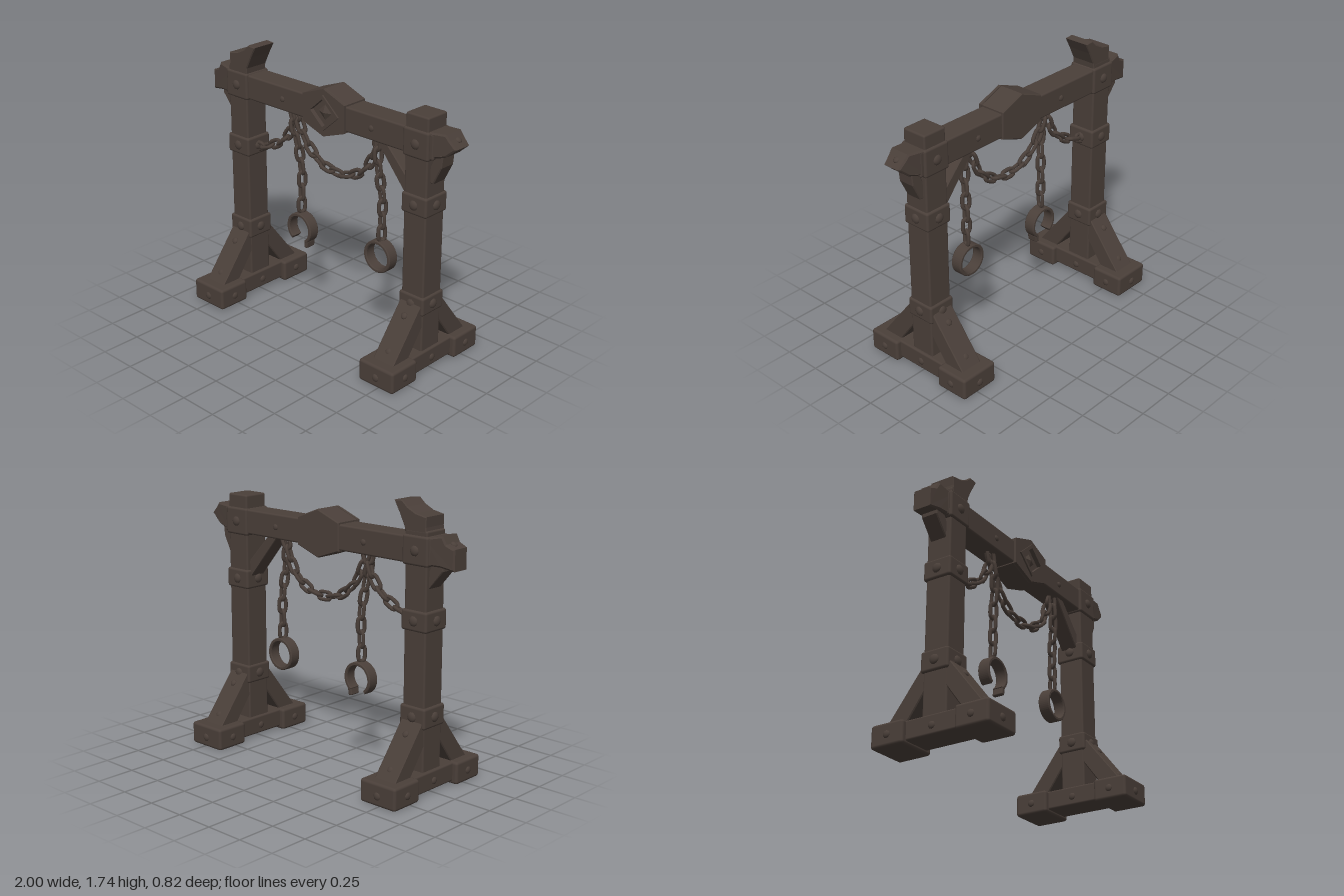
import * as THREE from 'three';
import { RoundedBoxGeometry } from 'three/addons/geometries/RoundedBoxGeometry.js';

const iron = new THREE.MeshStandardMaterial({ color: 0x4a3f39 });
iron.name = 'dark weathered brown';
const UP = new THREE.Vector3(0, 1, 0);

function add(parent, name, geometry, x = 0, y = 0, z = 0) {
  const mesh = new THREE.Mesh(geometry, iron);
  mesh.name = name;
  mesh.position.set(x, y, z);
  parent.add(mesh);
  return mesh;
}

// Softly rounded block given by its extents
function block(parent, name, x0, x1, y0, y1, z0, z1, r = 0.012) {
  const g = new RoundedBoxGeometry(x1 - x0, y1 - y0, z1 - z0, 2, r);
  return add(parent, name, g, (x0 + x1) / 2, (y0 + y1) / 2, (z0 + z1) / 2);
}

const toShape = (points) => new THREE.Shape(points.map(([x, y]) => new THREE.Vector2(x, y)));

// Outline extruded along z, centred, with a small bevel
function prism(points, depth, bevel = 0.006) {
  const g = new THREE.ExtrudeGeometry(toShape(points), {
    depth: depth - 2 * bevel, bevelEnabled: true, bevelSize: bevel,
    bevelOffset: -bevel, bevelThickness: bevel, bevelSegments: 1,
  });
  return g.translate(0, 0, -depth / 2 + bevel);
}

const rivetGeometry = new THREE.SphereGeometry(1, 10, 4, 0, Math.PI * 2, 0, Math.PI / 2);
function rivet(parent, position, normal, r = 0.032) {
  const m = add(parent, 'rivet', rivetGeometry, ...position);
  m.scale.set(r, r * 0.55, r);
  m.quaternion.setFromUnitVectors(UP, new THREE.Vector3(...normal).normalize());
}

// Iron collar with a rivet on each exposed side
function collar(parent, cx, y0, y1, sides = true) {
  block(parent, 'collar', cx - 0.094, cx + 0.094, y0, y1, -0.098, 0.094, 0.015);
  const y = (y0 + y1) / 2;
  rivet(parent, [cx, y, 0.092], [0, 0, 1]);
  rivet(parent, [cx, y, -0.096], [0, 0, -1]);
  if (sides) for (const s of [-1, 1]) rivet(parent, [cx + s * 0.092, y, 0], [s, 0, 0]);
}

// Base beam, end caps and sloping struts of one post
function foot(parent, cx) {
  const group = new THREE.Group();
  group.name = 'foot';
  group.position.x = cx;
  parent.add(group);
  block(group, 'baseBeam', -0.1, 0.1, 0.025, 0.145, -0.3, 0.3);
  for (const s of [-1, 1]) {
    const z0 = s > 0 ? 0.175 : -0.4;
    block(group, 'baseCap', -0.134, 0.134, 0.005, 0.148, z0, z0 + 0.225, 0.018);
    const strut = prism([[0.36, 0.11], [0.2, 0.13], [0.07, 0.31], [0.07, 0.45], [0.1, 0.45]], 0.155);
    add(group, 'strut', strut.rotateY(-s * Math.PI / 2));
    rivet(group, [0, 0.07, s * 0.397], [0, 0, s], 0.026);
    rivet(group, [0, 0.2, s * 0.283], [0, 0.75, s], 0.022);
    rivet(group, [0, 0.385, s * 0.149], [0, 0.75, s], 0.022);
    for (const side of [-1, 1]) {
      rivet(group, [side * 0.132, 0.075, s * 0.285], [side, 0, 0], 0.024);
      if (s > 0) rivet(group, [side * 0.098, 0.08, 0], [side, 0, 0], 0.024);
    }
  }
}

// Chain link: a closed oval tube, long along y
class Oval extends THREE.Curve {
  getPoint(t, target = new THREE.Vector3()) {
    const a = t * Math.PI * 2;
    const straight = 0.026 * Math.max(-1, Math.min(1, Math.sin(a) * 2.5));
    return target.set(Math.cos(a) * 0.024, Math.sin(a) * 0.024 + straight, 0);
  }
}
const linkGeometry = new THREE.TubeGeometry(new Oval(), 18, 0.0125, 6, true);

function chain(parent, name, points, pitch = 0.083) {
  const group = new THREE.Group();
  group.name = name;
  parent.add(group);
  const curve = new THREE.CatmullRomCurve3(points.map(([x, y, z = 0]) => new THREE.Vector3(x, y, z)));
  const count = Math.round(curve.getLength() / pitch);
  const ahead = new THREE.Vector3(0, 0, 1);
  for (let i = 0; i <= count; i++) {
    const t = curve.getTangentAt(i / count);
    const side = new THREE.Vector3().crossVectors(t, ahead).normalize();
    const basis = new THREE.Matrix4().makeBasis(side, t, new THREE.Vector3().crossVectors(side, t));
    const link = add(group, 'link', linkGeometry);
    link.position.copy(curve.getPointAt(i / count));
    link.quaternion.setFromRotationMatrix(basis);
    link.rotateY((i % 2) * Math.PI / 2 + 0.3);
  }
}

// Flat cuff band swept around z between two angles
function cuff(parent, name, x, y, start, sweep) {
  const shape = new THREE.Shape();
  shape.absarc(0, 0, 0.105, start, start + sweep, false);
  if (sweep < Math.PI * 2) {
    shape.absarc(0, 0, 0.082, start + sweep, start, true);
  } else {
    shape.holes.push(new THREE.Path().absarc(0, 0, 0.082, 0, Math.PI * 2, true));
  }
  const g = new THREE.ExtrudeGeometry(shape, {
    depth: 0.064, curveSegments: 28, bevelEnabled: true,
    bevelSize: 0.005, bevelOffset: -0.005, bevelThickness: 0.006, bevelSegments: 1,
  });
  return add(parent, name, g.translate(0, 0, -0.032), x, y, 0);
}

// Splintered beam end, narrowing in depth toward its tip
function beamEnd(parent, points, s) {
  const g = prism(points, 0.165, 0.01);
  const p = g.attributes.position;
  for (let i = 0; i < p.count; i++) {
    const k = Math.max(0, (Math.abs(p.getX(i)) - 0.83) / 0.17);
    p.setZ(i, p.getZ(i) * (1 - 0.28 * k) - 0.004);
  }
  g.computeVertexNormals();
  add(parent, 'beamEnd', g);
  rivet(parent, [s * 0.955, 1.515, -0.01], [s * 0.6, 1, 0], 0.022);
}

export function createModel() {
  const model = new THREE.Group();
  model.name = 'shackleFrame';
  const LX = -0.743, RX = 0.732;

  // Posts, collars and feet
  block(model, 'rightPost', LX - 0.08, LX + 0.08, 0.03, 1.58, -0.085, 0.082);
  block(model, 'leftPost', RX - 0.083, RX + 0.083, 0.03, 1.63, -0.085, 0.082);
  collar(model, LX, 0.41, 0.54);
  collar(model, RX, 0.385, 0.505);
  collar(model, LX, 0.99, 1.115);
  collar(model, RX, 1.02, 1.145);
  collar(model, LX, 1.375, 1.55, false);
  collar(model, RX, 1.37, 1.545, false);
  foot(model, LX);
  foot(model, RX);

  // Broken post top
  add(model, 'brokenPostTop', prism([
    [-0.823, 1.5], [-0.663, 1.5], [-0.655, 1.585], [-0.615, 1.665], [-0.575, 1.735],
    [-0.635, 1.74], [-0.675, 1.705], [-0.735, 1.675], [-0.812, 1.66], [-0.81, 1.6],
  ], 0.168));

  // Crossbeam with splintered ends
  block(model, 'crossbeam', -0.85, 0.85, 1.382, 1.54, -0.085, 0.078);
  beamEnd(model, [
    [-0.8, 1.385], [-0.8, 1.54], [-0.92, 1.565], [-0.945, 1.52], [-1, 1.497], [-1, 1.37], [-0.91, 1.385],
  ].reverse(), -1);
  beamEnd(model, [
    [0.8, 1.385], [0.88, 1.405], [0.925, 1.42], [0.995, 1.48], [0.95, 1.525], [0.925, 1.555], [0.8, 1.545],
  ], 1);
  for (const x of [-0.345, 0.387]) {
    rivet(model, [x, 1.458, 0.077], [0, 0, 1], 0.02);
    rivet(model, [x, 1.458, -0.084], [0, 0, -1], 0.02);
  }

  // Hexagonal centre plate, its front layer pierced by a diamond recess
  const hexagon = [[-0.153, 1.375], [0.02, 1.315], [0.19, 1.375], [0.19, 1.55], [0.02, 1.615], [-0.153, 1.55]];
  add(model, 'centrePlate', prism(hexagon, 0.17), 0, 0, -0.007);
  const diamond = (w, h) => [[0.02 - w, 1.465], [0.02, 1.465 - h], [0.02 + w, 1.465], [0.02, 1.465 + h]];
  const front = toShape(hexagon);
  front.holes.push(new THREE.Path(diamond(0.1, 0.088).map(([x, y]) => new THREE.Vector2(x, y)).reverse()));
  add(model, 'centrePlateFront', new THREE.ExtrudeGeometry(front, { depth: 0.019, bevelEnabled: false }), 0, 0, 0.077);
  const rim = toShape(diamond(0.13, 0.115));
  rim.holes.push(new THREE.Path(diamond(0.1, 0.088).map(([x, y]) => new THREE.Vector2(x, y)).reverse()));
  add(model, 'diamondRim', new THREE.ExtrudeGeometry(rim, { depth: 0.011, bevelEnabled: false }), 0, 0, 0.095);
  const stud = new THREE.ConeGeometry(0.06, 0.02, 4).toNonIndexed();
  stud.computeVertexNormals();
  const boss = add(model, 'diamondBoss', stud.rotateX(Math.PI / 2), 0.02, 1.465, 0.086);
  boss.scale.y = 0.9;

  // Corner braces
  add(model, 'innerBrace', prism([[0.39, 1.4], [0.66, 1.08], [0.66, 1.2], [0.47, 1.4]], 0.11), 0, 0, -0.005);
  add(model, 'outerBrace', prism([[0.8, 1.23], [0.835, 1.23], [0.89, 1.34], [0.9, 1.43], [0.85, 1.43], [0.8, 1.31]], 0.11), 0, 0, -0.005);
  add(model, 'outerBrace', prism([[-0.8, 1.22], [-0.8, 1.31], [-0.85, 1.42], [-0.92, 1.42], [-0.92, 1.36]], 0.11), 0, 0, -0.005);

  // Chains
  chain(model, 'sideChain', [[-0.65, 1.045], [-0.55, 1.075], [-0.42, 1.15], [-0.34, 1.25], [-0.3, 1.36]]);
  chain(model, 'swagChain', [
    [-0.3, 1.36], [-0.21, 1.19], [-0.09, 1.09], [0.05, 1.06], [0.19, 1.09], [0.3, 1.18], [0.38, 1.36],
  ]);
  chain(model, 'hangingChain', [[-0.32, 1.36, 0.02], [-0.28, 1.2, 0.02], [-0.26, 1], [-0.262, 0.75]], 0.09);
  chain(model, 'hangingChain', [[0.39, 1.36, 0.02], [0.4, 1.2, 0.02], [0.415, 1], [0.415, 0.77]], 0.09);

  // Cuffs: one closed, one snapped open at the bottom
  cuff(model, 'closedCuff', 0.408, 0.62, 0, Math.PI * 2);
  cuff(model, 'brokenCuff', -0.257, 0.592, -Math.PI * 0.31, Math.PI * 1.61);
  const hook = block(model, 'brokenCuffEnd', -0.211, -0.183, 0.475, 0.525, -0.036, 0.036, 0.008);
  hook.rotation.z = -0.15;
  return model;
}
